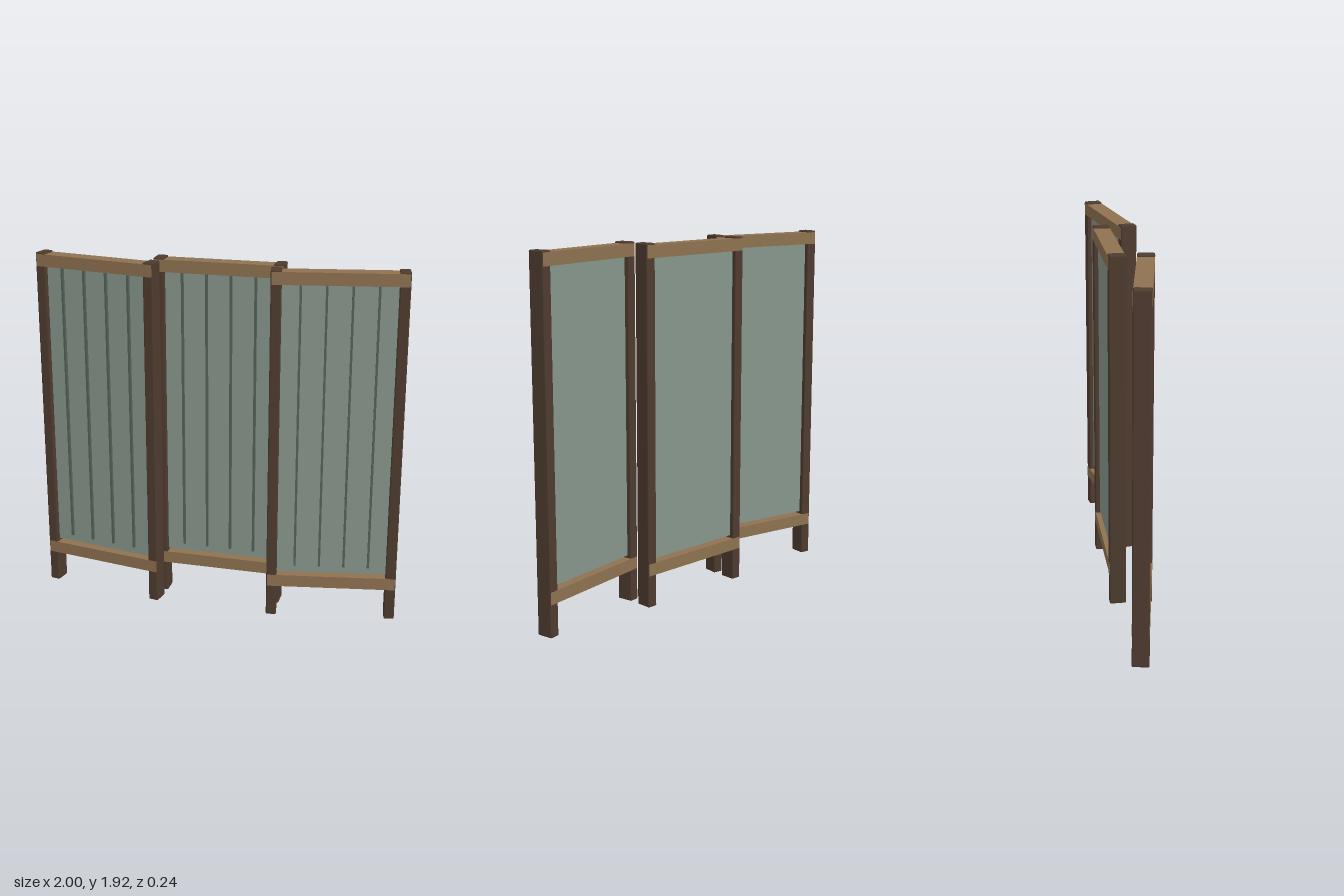
import * as THREE from 'three';
import { RoundedBoxGeometry } from 'three/addons/geometries/RoundedBoxGeometry.js';

const WIDTH = 0.70, DEPTH = 0.088, POST = 0.056, HEIGHT = 1.92;

const postMat = new THREE.MeshStandardMaterial({ color: 0x4e3b2f, flatShading: true });
const railMat = new THREE.MeshStandardMaterial({ color: 0x8e7150 });
const sheetMat = new THREE.MeshStandardMaterial({ color: 0x87968b });
const stripMat = new THREE.MeshStandardMaterial({ color: 0x55625a });

function add(group, name, geometry, material, x, y, z) {
  const mesh = new THREE.Mesh(geometry, material);
  mesh.name = name;
  mesh.position.set(x, y, z);
  group.add(mesh);
}

// One framed screen panel, facing +z, centred on its own x and z
function createPanel(name) {
  const panel = new THREE.Group();
  panel.name = name;

  // Chamfered end posts
  for (const side of [-1, 1]) {
    add(panel, side > 0 ? 'leftPost' : 'rightPost',
      new RoundedBoxGeometry(POST, HEIGHT, DEPTH, 1, 0.006), postMat,
      side * (WIDTH - POST) / 2, HEIGHT / 2, 0);
  }

  // Rails lap over the posts, barely proud of them
  const rail = new THREE.BoxGeometry(WIDTH - 0.008, 0.066, DEPTH + 0.001);
  add(panel, 'bottomRail', rail, railMat, 0, 0.207, 0);
  add(panel, 'topRail', rail, railMat, 0, 1.878, 0);

  // Recessed sheet with a small gap above the bottom rail
  add(panel, 'sheet', new THREE.BoxGeometry(WIDTH - 2 * POST + 0.01, 1.6, 0.04), sheetMat,
    0, 1.055, 0);

  // Thin upright strips on the front of the sheet
  const strip = new THREE.BoxGeometry(0.012, 1.56, 0.016);
  for (let i = 0; i < 4; i++) {
    add(panel, 'strip', strip, stripMat, (i - 1.5) * 0.132, 1.075, 0.027);
  }
  return panel;
}

export function createModel() {
  const model = new THREE.Group();
  model.name = 'foldingScreen';

  const middle = createPanel('middlePanel');
  middle.position.z = -0.076;
  model.add(middle);

  // Side panels set forward, with their outer ends swung back
  for (const side of [-1, 1]) {
    const wing = createPanel(side > 0 ? 'leftPanel' : 'rightPanel');
    wing.position.set(side * 0.648, 0, 0.011);
    wing.rotation.y = side * THREE.MathUtils.degToRad(10);
    model.add(wing);
  }
  return model;
}
